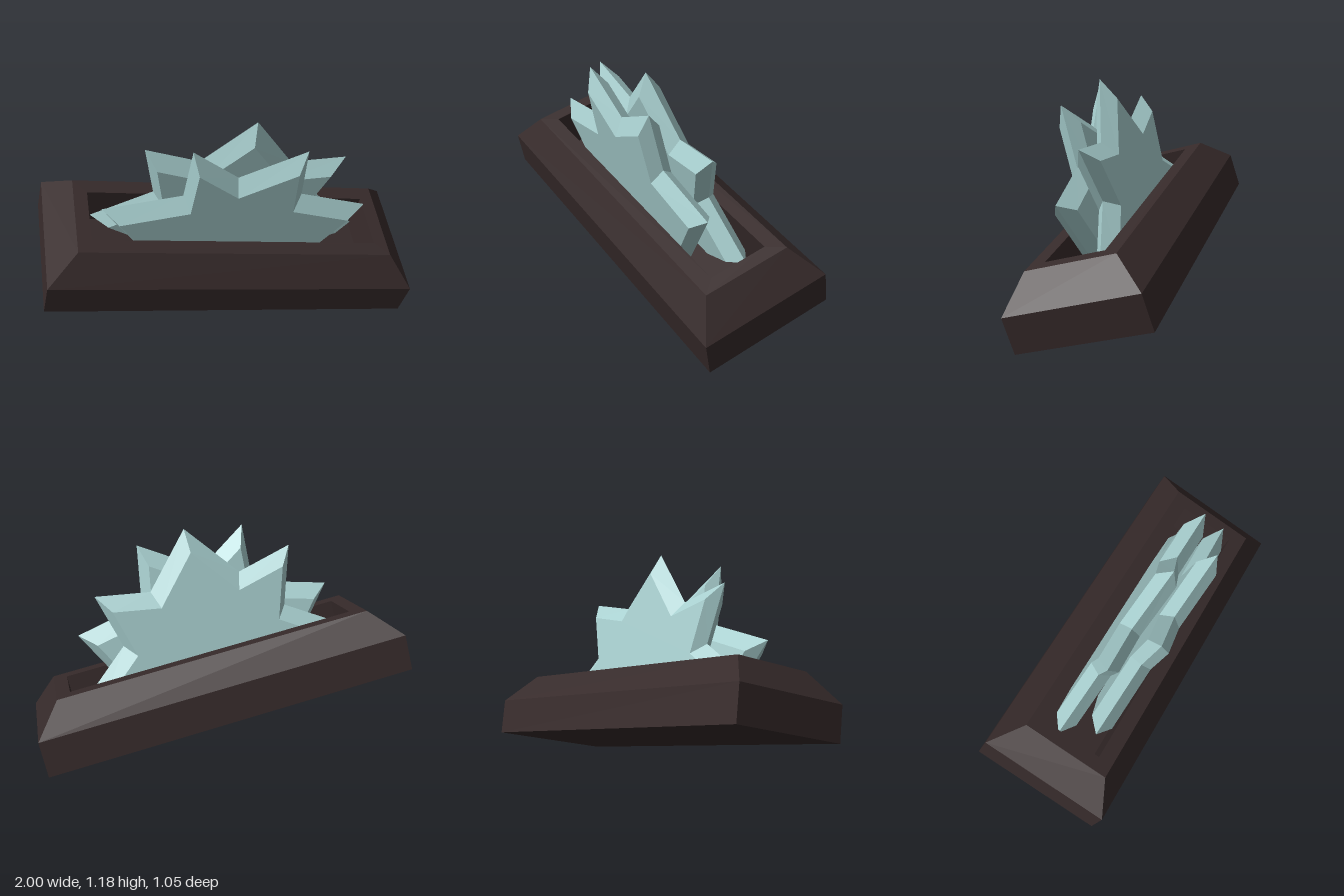
import * as THREE from 'three';

const tray = new THREE.MeshStandardMaterial({ color: 0x362a2a });
const crystal = new THREE.MeshStandardMaterial({ color: 0xa8cfcf });
tray.name = 'dark stone';
crystal.name = 'pale crystal';
tray.flatShading = crystal.flatShading = true;

// Joins rings of [x, y] points (counter-clockwise) stacked along z, with both ends capped
function loft(rings) {
  const pos = [];
  const put = (ring, i) => pos.push(...ring.pts[i % ring.pts.length], ring.z);
  for (let r = 0; r < rings.length - 1; r++) {
    const a = rings[r], b = rings[r + 1];
    for (let i = 0; i < a.pts.length; i++) {
      put(a, i); put(a, i + 1); put(b, i + 1);
      put(a, i); put(b, i + 1); put(b, i);
    }
  }
  const first = rings[0], last = rings[rings.length - 1];
  const faces = THREE.ShapeUtils.triangulateShape(first.pts.map(p => new THREE.Vector2(...p)), []);
  for (const [i, j, k] of faces) {
    put(first, k); put(first, j); put(first, i);
    put(last, i); put(last, j); put(last, k);
  }
  const geo = new THREE.BufferGeometry();
  geo.setAttribute('position', new THREE.Float32BufferAttribute(pos, 3));
  geo.computeVertexNormals();
  return geo;
}

const rect = (w, d, z) => ({ pts: [[-w, -d], [w, -d], [w, d], [-w, d]], z });

// Spiked crystal slab, widest at its middle and bevelled to both faces
function crystalSlab(name, outline, z) {
  const pts = [...outline].reverse();
  const small = pts.map(([x, y]) => [x * 0.87, y * 0.88]);
  const mesh = new THREE.Mesh(loft([
    { pts: small, z: z - 0.058 }, { pts, z }, { pts: small, z: z + 0.058 },
  ]), crystal);
  mesh.name = name;
  return mesh;
}

export function createModel() {
  const model = new THREE.Group();
  model.name = 'crystalTray';
  const tilted = new THREE.Group();
  tilted.name = 'tiltedAssembly';
  model.add(tilted);

  // Bevelled tray with a sunken rectangular recess
  const base = new THREE.Mesh(loft([
    rect(0.943, 0.339, 0), rect(0.943, 0.339, 0.183), rect(0.806, 0.227, 0.33),
    rect(0.737, 0.15, 0.33), rect(0.737, 0.15, 0.12),
  ]).rotateX(-Math.PI / 2), tray);
  base.name = 'tray';
  tilted.add(base);

  // Front slab with four spikes, back slab with five
  tilted.add(crystalSlab('frontCrystal', [
    [-0.42, 0.11], [-0.7, 0.46], [-0.322, 0.574], [-0.334, 0.876], [-0.08, 0.714],
    [0.217, 0.912], [0.269, 0.61], [0.623, 0.543], [0.4, 0.11],
  ], 0.066));
  tilted.add(crystalSlab('backCrystal', [
    [-0.45, 0.11], [-0.72, 0.25], [-0.43, 0.44], [-0.52, 0.735], [-0.24, 0.67], [-0.018, 0.951],
    [0.22, 0.69], [0.494, 0.741], [0.42, 0.46], [0.69, 0.23], [0.45, 0.11],
  ], -0.072));

  // Lean the whole assembly on its front corner
  const ex = new THREE.Vector3(0.965, -0.1776, 0.1935).normalize();
  const ey = new THREE.Vector3(-0.236, -0.258, 0.9366).cross(ex).normalize();
  const ez = ex.clone().cross(ey);
  tilted.quaternion.setFromRotationMatrix(new THREE.Matrix4().makeBasis(ex, ey, ez));
  tilted.position.set(-0.01, 0.255, -0.025);
  return model;
}
